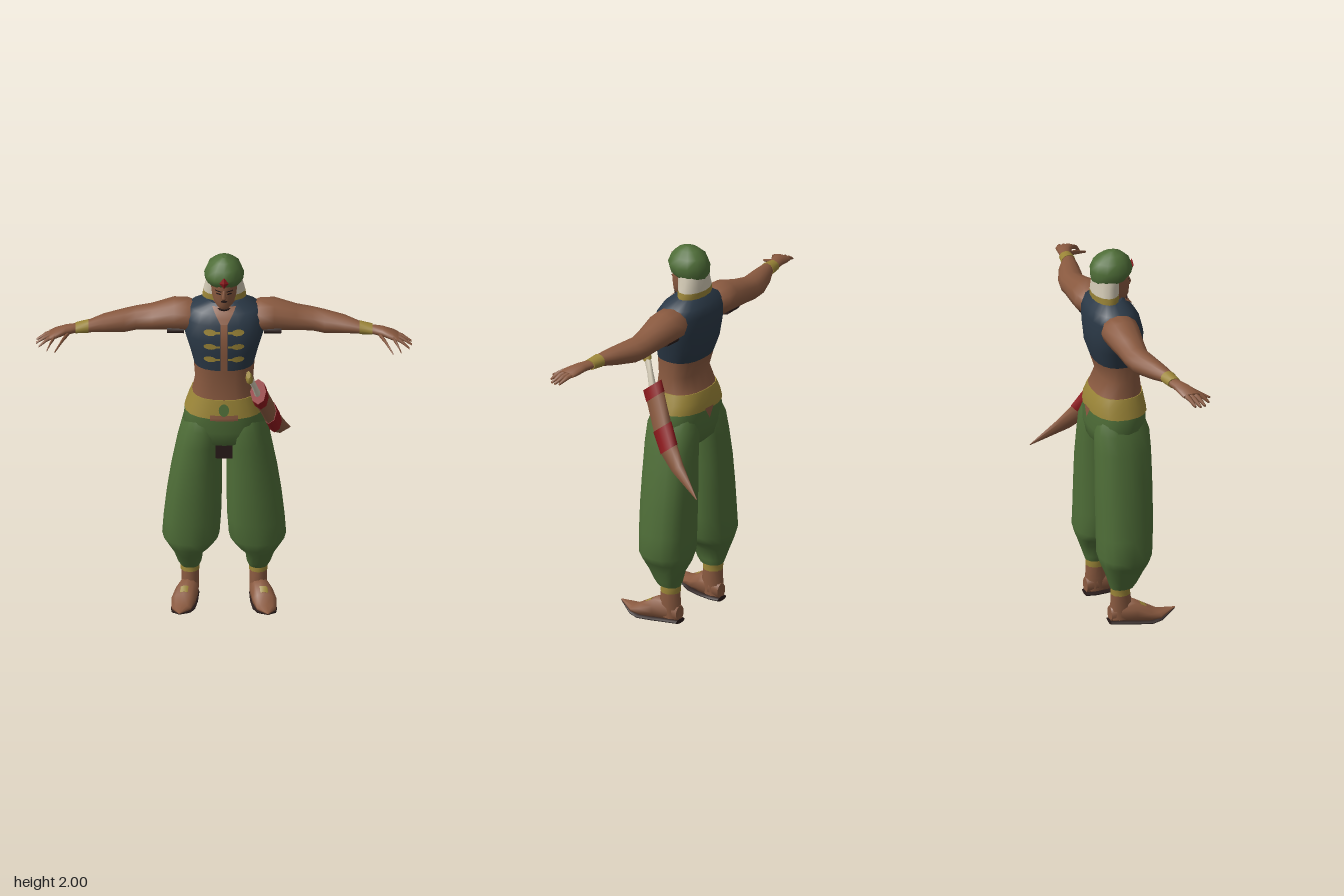
import * as THREE from 'three';

const colours = {
  green: 0x4f6e38, skin: 0x8a5a40, navy: 0x2b3947, gold: 0x9c8638,
  red: 0x8e191d, dark: 0x2a1c1a, cream: 0xd2c9b4,
};
const mats = {};
const V = (x, y, z) => new THREE.Vector3(x, y, z);
const X = V(1, 0, 0), Y = V(0, 1, 0), Z = V(0, 0, 1);

// Skin a tube through rows of [x, y, z, a, b]; a runs along u, b along u x d.
function loft(parent, name, mat, rows, { u = X, d = Y, n = 14, p = 2, s = 1 } = {}) {
  const v = u.clone().cross(d).normalize(), pos = [], idx = [];
  const tri = (a, b, c) => (s > 0 ? idx.push(a, b, c) : idx.push(a, c, b));
  const put = (q) => pos.push(q.x * s, q.y, q.z);
  const ring = ([x, y, z, a, b]) => {
    for (let j = 0; j < n; j++) {
      const t = (j / n) * Math.PI * 2, S = Math.sin(t), C = Math.cos(t);
      put(V(x, y, z)
        .addScaledVector(u, a * Math.sign(S) * Math.abs(S) ** (2 / p))
        .addScaledVector(v, b * Math.sign(C) * Math.abs(C) ** (2 / p)));
    }
  };
  rows.forEach(ring);
  for (let i = 0; i < rows.length - 1; i++) for (let j = 0; j < n; j++) {
    const k = (j + 1) % n, a = i * n + j, b = i * n + k;
    tri(a, b, b + n);
    tri(a, b + n, a + n);
  }
  // end caps
  [rows[0], rows[rows.length - 1]].forEach((row, end) => {
    const base = pos.length / 3;
    ring(row);
    put(V(row[0], row[1], row[2]));
    for (let j = 0; j < n; j++) {
      const a = base + j, b = base + ((j + 1) % n);
      end ? tri(a, b, base + n) : tri(b, a, base + n);
    }
  });
  const g = new THREE.BufferGeometry();
  g.setAttribute('position', new THREE.Float32BufferAttribute(pos, 3));
  g.setIndex(idx);
  g.computeVertexNormals();
  return add(parent, name, g, mat);
}

function add(parent, name, geo, mat) {
  const m = new THREE.Mesh(geo, mats[mat]);
  m.name = name;
  parent.add(m);
  return m;
}

// Torso sections: height, half width, half depth, centre z
const torso = [
  [0.94, 0.1, 0.09, 0.04], [0.98, 0.17, 0.13, 0.04], [1.05, 0.207, 0.142, 0.04],
  [1.14, 0.195, 0.142, 0.043], [1.19, 0.178, 0.136, 0.04], [1.24, 0.16, 0.122, 0.045],
  [1.32, 0.145, 0.1, 0.058], [1.41, 0.152, 0.118, 0.048], [1.5, 0.176, 0.135, 0.035],
  [1.58, 0.2, 0.138, 0.033], [1.66, 0.198, 0.128, 0.022], [1.71, 0.172, 0.105, 0.012],
  [1.748, 0.08, 0.06, 0.015],
];
const face = [
  [1.735, 0.03, 0.035, 0.07], [1.755, 0.048, 0.062, 0.053], [1.785, 0.06, 0.076, 0.042],
  [1.83, 0.066, 0.083, 0.034], [1.89, 0.07, 0.085, 0.03],
];
const toRows = (table, y0, y1, grow = 0) => table
  .filter(([y]) => y >= y0 && y <= y1)
  .map(([y, a, b, z]) => [0, y, z, a + grow, b + grow]);

// Bend a flat shape onto the front (s = 1) or back (s = -1) of a section table
function paint(parent, name, mat, table, p, geo, x, y, s = 1) {
  geo.translate(x, y, 0);
  const at = geo.attributes.position;
  for (let i = 0; i < at.count; i++) {
    const px = at.getX(i), py = at.getY(i);
    let k = 0;
    while (k < table.length - 2 && table[k + 1][0] < py) k++;
    const f = THREE.MathUtils.clamp((py - table[k][0]) / (table[k + 1][0] - table[k][0]), 0, 1);
    const [, a, b, z] = table[k].map((q, j) => q + (table[k + 1][j] - q) * f);
    const depth = b * Math.max(0, 1 - Math.abs(px / a) ** p) ** (1 / p) + 0.005;
    at.setXYZ(i, px * s, py, z + depth * s);
  }
  geo.computeVertexNormals();
  return add(parent, name, geo, mat);
}
const plate = (w, h) => new THREE.PlaneGeometry(w, h, 6, 6);
const oval = (w, h) => new THREE.CircleGeometry(1, 14).scale(w, h, 1);

function buildTorso(g) {
  const o = { n: 20, p: 2.4 };
  loft(g, 'trouserSeat', 'green', toRows(torso, 0.9, 1.14), o);
  loft(g, 'sash', 'gold', toRows(torso, 1.14, 1.24, 0.004), o);
  loft(g, 'belly', 'skin', toRows(torso, 1.24, 1.41), o);
  loft(g, 'vest', 'navy', toRows(torso, 1.41, 1.75), o);
  const on = (name, mat, geo, x, y, s) => paint(g, name, mat, torso, 2.4, geo, x, y, s);
  on('vestOpening', 'skin', plate(0.036, 0.28), 0, 1.55);
  const neck = plate(0.12, 0.07), at = neck.attributes.position;
  for (let i = 0; i < at.count; i++) at.setX(i, at.getX(i) * (0.65 + at.getY(i) * 10));
  on('openCollar', 'skin', neck, 0, 1.705);
  for (const s of [-1, 1]) for (const y of [1.63, 1.555, 1.48]) {
    on('vestClasp', 'gold', oval(0.032, 0.017), s * 0.07, y);
    on('vestLoop', 'gold', plate(0.05, 0.012), s * 0.045, y);
  }
  on('sashFrontGap', 'skin', plate(0.14, 0.03), 0, 1.145);
  on('sashBackGap', 'skin', new THREE.CircleGeometry(0.04, 3, -Math.PI / 2), 0, 1.13, -1);
  const buckle = on('buckle', 'green', oval(0.026, 0.033), 0, 1.19);
  buckle.position.z = 0.004;
  add(g, 'crotchPatch', new THREE.BoxGeometry(0.085, 0.085, 0.12).translate(0, 0.935, 0.095), 'dark');
}

function buildHead(g) {
  loft(g, 'neck', 'skin', [[0, 1.68, 0.02, 0.08, 0.065], [0, 1.73, 0.025, 0.06, 0.055], [0, 1.8, 0.03, 0.055, 0.05]]);
  loft(g, 'face', 'skin', toRows(face, 1.7, 1.9), { n: 16 });
  loft(g, 'beard', 'dark', [[0, 1.7, 0.055, 0.035, 0.035], [0, 1.715, 0.057, 0.052, 0.045], [0, 1.735, 0.06, 0.042, 0.052]]);
  loft(g, 'nose', 'skin', [[0, 1.8, 0.118, 0.012, 0.008], [0, 1.812, 0.12, 0.013, 0.014], [0, 1.85, 0.11, 0.006, 0.008]], { n: 6 });
  const on = (name, mat, geo, x, y) => paint(g, name, mat, face, 2, geo, x, y);
  for (const s of [-1, 1]) {
    on('eye', 'dark', oval(0.013, 0.004), s * 0.028, 1.831);
    on('eyebrow', 'dark', plate(0.032, 0.006), s * 0.028, 1.846);
  }
  on('moustache', 'dark', oval(0.017, 0.007), 0, 1.79);
  // neck cloth and turban
  loft(g, 'neckClothHem', 'gold', [[0, 1.752, -0.01, 0.112, 0.066], [0, 1.785, -0.01, 0.106, 0.068]]);
  loft(g, 'neckCloth', 'cream', [[0, 1.785, -0.01, 0.106, 0.068], [0, 1.83, -0.006, 0.095, 0.068], [0, 1.88, 0, 0.085, 0.07]]);
  const turban = loft(g, 'turban', 'green', [
    [0, 1.845, 0.02, 0.078, 0.088], [0, 1.868, 0.023, 0.096, 0.104], [0, 1.91, 0.026, 0.1, 0.11],
    [0, 1.955, 0.026, 0.082, 0.092], [0, 1.985, 0.03, 0.048, 0.055], [0, 2, 0.032, 0.012, 0.014],
  ], { n: 12 });
  const at = turban.geometry.attributes.position;
  for (let i = 0; i < at.count; i++) if (at.getY(i) < 1.9) at.setY(i, at.getY(i) + at.getZ(i) * 0.11);
  turban.geometry.computeVertexNormals();
  add(g, 'turbanJewel', new THREE.OctahedronGeometry(1).scale(0.024, 0.032, 0.009).translate(0, 1.905, 0.136), 'red');
}

function buildArm(g, s) {
  const o = { u: Z, d: X, n: 12, s };
  loft(g, 'arm', 'skin', [
    [0.13, 1.645, 0, 0.07, 0.06], [0.18, 1.645, 0, 0.098, 0.078], [0.25, 1.645, -0.005, 0.092, 0.08],
    [0.36, 1.625, -0.007, 0.075, 0.064], [0.44, 1.614, -0.01, 0.066, 0.059], [0.5, 1.608, 0.005, 0.066, 0.058],
    [0.6, 1.61, 0.034, 0.053, 0.045], [0.68, 1.608, 0.064, 0.034, 0.03], [0.74, 1.604, 0.073, 0.03, 0.022],
  ], o);
  loft(g, 'underarmPatch', 'dark', [[0.2, 1.587, 0.005, 0.076, 0.029], [0.285, 1.587, 0.005, 0.074, 0.026]], o);
  loft(g, 'wristband', 'gold', [[0.675, 1.608, 0.063, 0.038, 0.034], [0.74, 1.604, 0.073, 0.034, 0.026]], o);
  loft(g, 'palm', 'skin', [
    [0.73, 1.604, 0.072, 0.029, 0.022], [0.79, 1.603, 0.09, 0.036, 0.024],
    [0.84, 1.594, 0.107, 0.046, 0.02], [0.87, 1.586, 0.115, 0.045, 0.013],
  ], o);
  // four fingers and a thumb
  const digits = [[0.085, 0.935, 0.11], [0.105, 0.938, 0.137], [0.127, 0.925, 0.165], [0.145, 0.885, 0.2]];
  digits.forEach(([z, x1, z1], i) => loft(g, 'finger', 'skin', [
    [0.845, 1.591, z, 0.014, 0.014], [(0.845 + x1) / 2, 1.581 - i * 0.002, (z + z1) / 2, 0.013, 0.012],
    [x1, 1.558 - i * 0.005, z1, 0.006, 0.006],
  ], { ...o, n: 6 }));
  loft(g, 'thumb', 'skin', [
    [0.77, 1.596, 0.1, 0.016, 0.014], [0.805, 1.578, 0.15, 0.015, 0.013], [0.845, 1.548, 0.22, 0.006, 0.006],
  ], { ...o, n: 6 });
}

function buildLeg(g, s) {
  loft(g, 'trouserLeg', 'green', [
    [0.17, 0.2, 0.015, 0.05, 0.06], [0.172, 0.23, 0.02, 0.062, 0.075], [0.178, 0.29, 0.025, 0.075, 0.1],
    [0.168, 0.34, 0.03, 0.113, 0.125], [0.166, 0.385, 0.03, 0.143, 0.135], [0.158, 0.5, 0.034, 0.143, 0.138],
    [0.148, 0.65, 0.036, 0.137, 0.141], [0.137, 0.8, 0.037, 0.126, 0.143], [0.121, 0.95, 0.04, 0.114, 0.142],
    [0.105, 1.05, 0.04, 0.105, 0.14], [0.095, 1.11, 0.04, 0.09, 0.12],
  ], { n: 16, p: 2.3, s });
  loft(g, 'ankle', 'skin', [
    [0.17, 0.03, 0.005, 0.045, 0.055], [0.17, 0.1, 0.012, 0.046, 0.058], [0.17, 0.22, 0.005, 0.046, 0.045],
  ], { n: 10, s });
  loft(g, 'anklet', 'gold', [[0.17, 0.165, 0.009, 0.049, 0.052], [0.17, 0.2, 0.007, 0.049, 0.05]], { n: 10, s });
  const foot = { u: X, d: Z, n: 10, s };
  loft(g, 'shoe', 'skin', [
    [0.166, 0.055, -0.047, 0.032, 0.04], [0.17, 0.065, 0, 0.046, 0.058], [0.185, 0.066, 0.075, 0.058, 0.06],
    [0.203, 0.048, 0.14, 0.063, 0.04], [0.212, 0.036, 0.195, 0.05, 0.02], [0.222, 0.058, 0.28, 0.003, 0.003],
  ], foot);
  loft(g, 'shoeSole', 'dark', [
    [0.166, 0.013, -0.05, 0.035, 0.012], [0.17, 0.012, 0, 0.048, 0.012], [0.187, 0.011, 0.08, 0.06, 0.011],
    [0.204, 0.011, 0.15, 0.064, 0.011], [0.212, 0.019, 0.2, 0.05, 0.011], [0.222, 0.053, 0.277, 0.004, 0.003],
  ], foot);
  loft(g, 'shoeTrim', 'gold', [[0.194, 0.096, 0.1, 0.028, 0.016], [0.2, 0.08, 0.13, 0.028, 0.014]], foot);
}

function buildSword(g) {
  const o = { d: V(0, -0.77, -0.64), n: 8 };
  const path = [
    [0.17, 1.265, 0.125, 0.037, 0.064], [0.183, 1.215, 0.095, 0.037, 0.063], [0.222, 1.085, 0.02, 0.036, 0.063],
    [0.25, 0.99, -0.045, 0.034, 0.058], [0.278, 0.92, -0.12, 0.024, 0.043], [0.326, 0.81, -0.28, 0.002, 0.003],
  ];
  const wide = (rows) => rows.map(([x, y, z, a, b]) => [x, y, z, a + 0.003, b + 0.003]);
  loft(g, 'scabbardMouth', 'red', wide(path.slice(0, 2)), o);
  loft(g, 'scabbardBody', 'skin', path.slice(1, 3), o);
  loft(g, 'scabbardBand', 'red', wide(path.slice(2, 4)), o);
  loft(g, 'scabbardTip', 'skin', path.slice(3), o);
  const up = { d: V(0, 0.85, 0.5), n: 8 };
  loft(g, 'hilt', 'cream', [[0.168, 1.25, 0.125, 0.017, 0.022], [0.15, 1.32, 0.155, 0.014, 0.017], [0.13, 1.38, 0.188, 0.014, 0.02]], up);
  loft(g, 'pommel', 'gold', [[0.13, 1.37, 0.185, 0.016, 0.024], [0.126, 1.39, 0.2, 0.018, 0.034], [0.122, 1.41, 0.2, 0.012, 0.022]], up);
}

export function createModel() {
  for (const [name, color] of Object.entries(colours)) {
    mats[name] = new THREE.MeshStandardMaterial({ color });
    mats[name].name = name;
  }
  const model = new THREE.Group();
  model.name = 'swordsman';
  const part = (name, build, s) => {
    const g = new THREE.Group();
    g.name = name;
    build(g, s);
    model.add(g);
  };
  part('torso', buildTorso);
  part('head', buildHead);
  for (const [side, s] of [['left', 1], ['right', -1]]) {
    part(side + 'Arm', buildArm, s);
    part(side + 'Leg', buildLeg, s);
  }
  part('sword', buildSword);
  return model;
}
